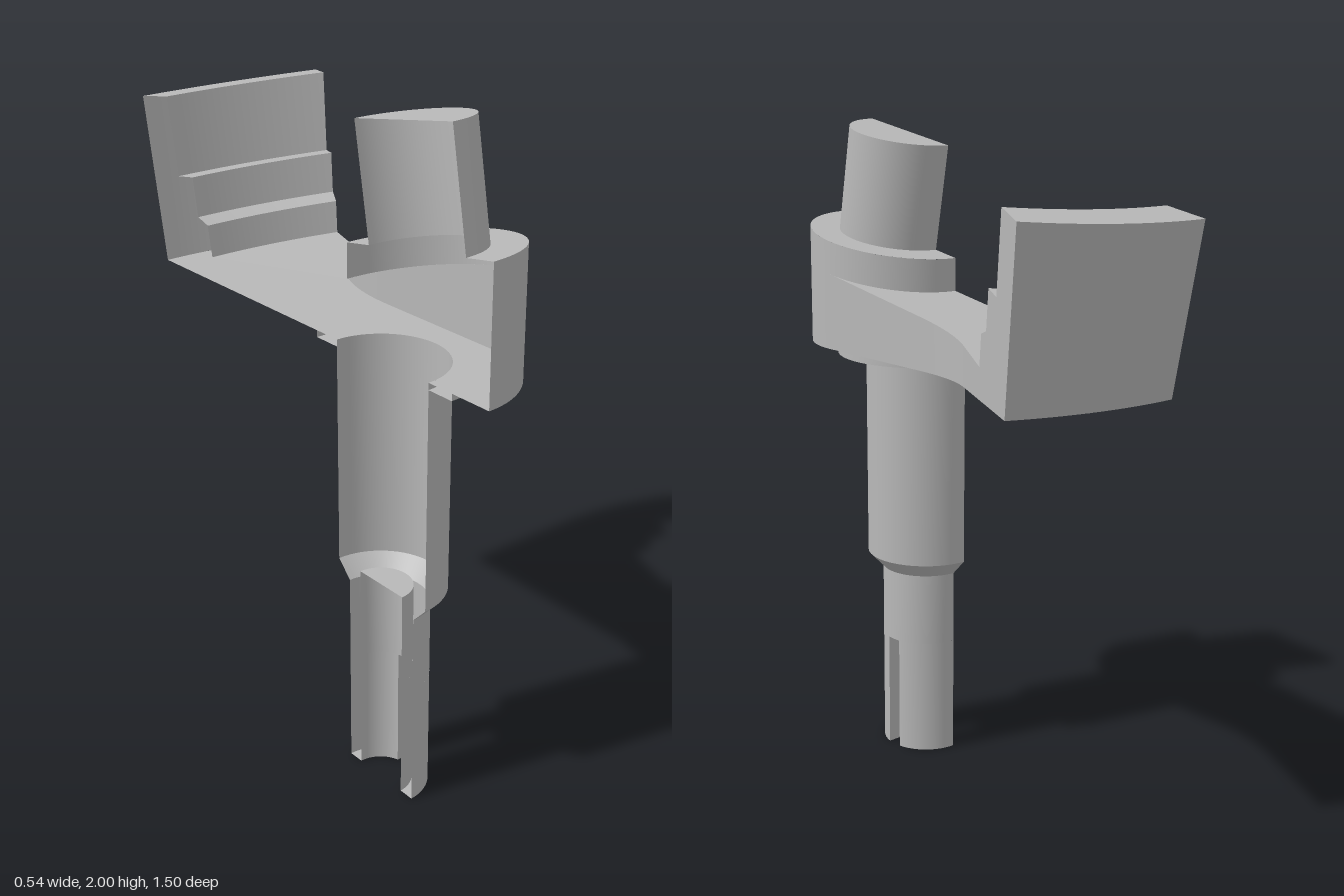
import * as THREE from 'three';
import { mergeGeometries } from 'three/addons/utils/BufferGeometryUtils.js';

const CUT = -0.27;                         // x of the open section plane
const TILT = Math.PI / 18, C = Math.cos(TILT), S = Math.sin(TILT);
const FLOOR = 1.32, ARM_H = -0.418, BOSS_H = -0.32;
const SHAFT_Z = 0.345, BOSS_Z = 0.478, BOSS_R = 0.272;
const V = (x, y, z) => new THREE.Vector3(x, y, z);

// point around the tilted pin axis: radius, angle from the back, height along the axis
function tilted(r, phi, h) {
  const q = r * Math.cos(phi);
  return V(CUT + r * Math.sin(phi), 1.967 - S * q + C * h, 0.42 - C * q - S * h);
}
// height of a tilted plane above plan position z
const planeY = (h, z) => 1.967 + (h + S * (z - 0.42)) / C;
// point around a vertical axis on the section plane
const upright = (r, phi, y, zc) => V(CUT + r * Math.sin(phi), y, zc - r * Math.cos(phi));
// vertical side plane of the flared arm
const sideX = z => 0.05 - 0.512 * (z + 0.19);

// ruled surface between two curves, smooth along its length
function ruled(a, b, n = 32) {
  const pos = [], uv = [], idx = [];
  for (let i = 0; i <= n; i++) {
    pos.push(...a(i / n).toArray(), ...b(i / n).toArray());
    uv.push(i / n, 0, i / n, 1);
    if (i < n) idx.push(2 * i, 2 * i + 2, 2 * i + 1, 2 * i + 1, 2 * i + 2, 2 * i + 3);
  }
  const g = new THREE.BufferGeometry();
  g.setAttribute('position', new THREE.Float32BufferAttribute(pos, 3));
  g.setAttribute('uv', new THREE.Float32BufferAttribute(uv, 2));
  g.setIndex(idx);
  g.computeVertexNormals();
  return g;
}
// flat face from a 2D outline, each vertex placed by a rule
function face(points, place) {
  const g = new THREE.ShapeGeometry(new THREE.Shape(points));
  const p = g.attributes.position;
  for (let i = 0; i < p.count; i++) p.setXYZ(i, ...place(p.getX(i), p.getY(i)).toArray());
  g.computeVertexNormals();
  return g;
}
const sample = (f, n) => Array.from({ length: n + 1 }, (_, i) => f(i / n));
const plan = p => new THREE.Vector2(p.x, p.z);

// half band around the shaft axis
const band = (r0, y0, r1, y1, from = 0, to = Math.PI) => ruled(
  t => upright(r0, from + (to - from) * t, y0, SHAFT_Z),
  t => upright(r1, from + (to - from) * t, y1, SHAFT_Z));

export function createModel() {
  const group = new THREE.Group();
  const steel = new THREE.MeshStandardMaterial({ color: 0xb8b8b8, side: THREE.DoubleSide });
  steel.name = 'grey steel';
  const add = (name, ...geos) => {
    const m = new THREE.Mesh(mergeGeometries(geos), steel);
    m.name = name;
    group.add(m);
  };
  const PI = Math.PI;

  // tilted pin with its flat end
  const pinR = 0.183;
  add('pin',
    ruled(t => tilted(pinR, PI * t, BOSS_H), t => tilted(pinR, PI * t, 0)),
    ruled(t => tilted(0, 0, 0), t => tilted(pinR, PI * t, 0)));

  // boss with a sloping top
  const bossAt = (phi, h) => {
    const p = upright(BOSS_R, phi, 0, BOSS_Z);
    p.y = h === null ? FLOOR : planeY(h, p.z);
    return p;
  };
  add('boss',
    ruled(t => tilted(pinR, PI * t, BOSS_H), t => bossAt(PI * t, BOSS_H)),
    ruled(t => bossAt(PI / 2 * t, ARM_H), t => bossAt(PI / 2 * t, BOSS_H)),
    ruled(t => bossAt(PI / 2 * (1 + t), null), t => bossAt(PI / 2 * (1 + t), BOSS_H)));

  // main shaft, flange and chamfer
  add('flange', band(0.272, 1.3, 0.272, FLOOR), band(0.185, 1.3, 0.272, 1.3));
  add('shaft', band(0.185, 0.65, 0.185, FLOOR), band(0.137, 0.6, 0.185, 0.65));

  // slotted, bored lower shaft
  const R = 0.137, B = 0.09, slotTop = 0.37, half = 0.025, boreTop = 0.65;
  const gap = r => Math.asin(half / r);
  const lower = [
    band(R, slotTop, R, 0.6), band(B, slotTop, B, boreTop), band(0, boreTop, B, boreTop),
    ruled(t => upright(B, PI / 2 + gap(B) * (2 * t - 1), slotTop, SHAFT_Z),
      t => upright(R, PI / 2 + gap(R) * (2 * t - 1), slotTop, SHAFT_Z), 4),
  ];
  for (const s of [-1, 1]) {
    const a = r => t => PI / 2 + s * (gap(r) + (PI / 2 - gap(r)) * t);
    const ring = (r, y) => t => upright(r, a(r)(t), y, SHAFT_Z);
    lower.push(
      ruled(ring(R, 0), ring(R, slotTop)), ruled(ring(B, 0), ring(B, slotTop)),
      ruled(ring(B, 0), ring(R, 0)),
      ruled(t => ring(B, slotTop * t)(0), t => ring(R, slotTop * t)(0), 1));
  }
  add('slottedShaft', ...lower);

  // stepped sector wall, swept about the pin axis up to the flared side plane
  const profile = [[0.927, ARM_H], [0.927, -0.325], [0.972, -0.303], [0.972, -0.187],
    [1.047, -0.187], [1.047, 0.044], [1.18, 0.044], [1.18, null]];
  const wallPoint = ([r, h], phi) => tilted(r, phi,
    h === null ? (FLOOR - 1.967 + S * r * Math.cos(phi)) / C : h);
  const sweep = pt => {
    let lo = 0, hi = 1;
    for (let i = 0; i < 40; i++) {
      const mid = (lo + hi) / 2, p = wallPoint(pt, mid);
      if (p.x < sideX(p.z)) lo = mid; else hi = mid;
    }
    return t => wallPoint(pt, lo * t);
  };
  const arcs = profile.map(sweep);
  add('sectorWall', ...arcs.slice(1).map((arc, i) => ruled(arcs[i], arc)));

  // arm: curved flank, flat flared end, sloping top and underside
  const flare = new THREE.QuadraticBezierCurve(
    new THREE.Vector2(0.002, 0.05), new THREE.Vector2(0.002, -0.096), new THREE.Vector2(0.05, -0.19));
  const edge = [new THREE.Vector2(0.002, BOSS_Z), ...flare.getPoints(16)];
  const flank = t => flare.getPoint(t);
  const straight = t => new THREE.Vector2(0.002, BOSS_Z + (0.05 - BOSS_Z) * t);
  const wallOf = (f, n) => ruled(
    t => V(f(t).x, FLOOR, f(t).y),
    t => V(f(t).x, planeY(ARM_H, f(t).y), f(t).y), n);
  const endOutline = [new THREE.Vector2(-0.19, FLOOR), new THREE.Vector2(-0.19, planeY(ARM_H, -0.19)),
    ...arcs.map(a => new THREE.Vector2(a(1).z, a(1).y))];
  const topOutline = [...sample(t => plan(bossAt(PI / 2 * t, ARM_H)), 16), ...edge.slice(1),
    ...sample(t => plan(arcs[0](1 - t)), 24)];
  const floorOutline = [...sample(t => plan(bossAt(PI - PI / 2 * t, null)), 24), ...edge.slice(1),
    ...sample(t => plan(arcs[arcs.length - 1](1 - t)), 24),
    ...sample(t => plan(upright(0.185, PI * t, 0, SHAFT_Z)), 24)];
  add('arm',
    wallOf(straight, 1), wallOf(flank, 16),
    face(endOutline, (z, y) => V(sideX(z), y, z)),
    face(topOutline, (x, z) => V(x, planeY(ARM_H, z), z)),
    face(floorOutline, (x, z) => V(x, FLOOR, z)));

  return group;
}
